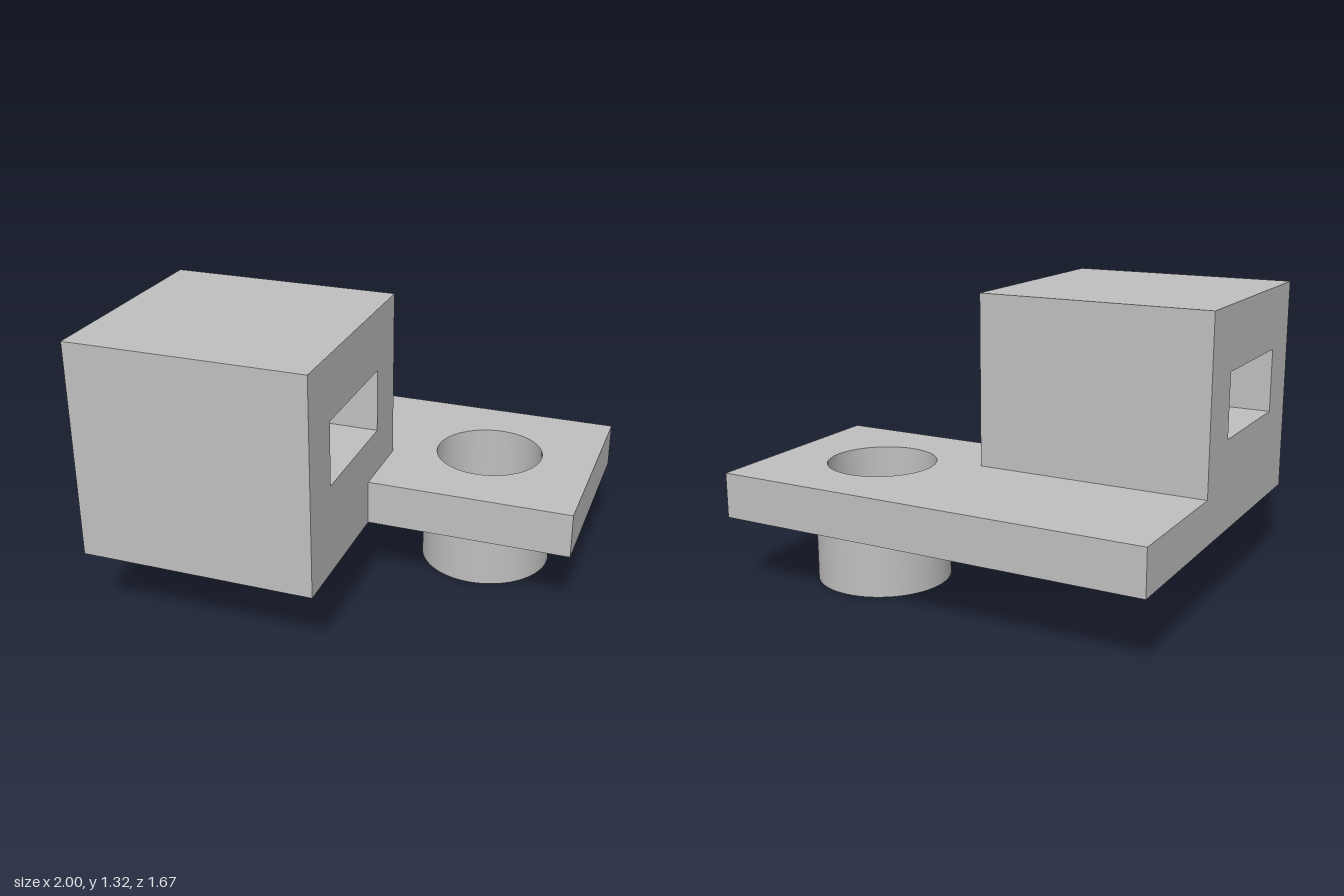
import * as THREE from 'three';
import { toCreasedNormals } from 'three/addons/utils/BufferGeometryUtils.js';

const BASE = 0.335, PLATE_TOP = 0.54, BLOCK_TOP = 1.32;
const HOLE = { x: 0.505, z: -0.342, r: 0.248, outer: 0.307 };

const polygon = (Type, pts) => new Type(pts.map(([a, b]) => new THREE.Vector2(a, b)));

function extrude(shape, depth) {
  const geo = new THREE.ExtrudeGeometry(shape, { depth, bevelEnabled: false, curveSegments: 40 });
  return toCreasedNormals(geo, 0.5);
}

// shape drawn as (x, -z), raised along y
function upright(shape, y0, y1) {
  return extrude(shape, y1 - y0).rotateX(-Math.PI / 2).translate(0, y0, 0);
}

function circle(Type, r) {
  return new Type().absarc(HOLE.x, -HOLE.z, r, 0, Math.PI * 2, false);
}

export function createModel() {
  const group = new THREE.Group();
  const grey = new THREE.MeshStandardMaterial({ color: 0xbfbfbf });
  grey.name = 'grey';
  const add = (name, geo) => {
    const mesh = new THREE.Mesh(geo, grey);
    mesh.name = name;
    group.add(mesh);
  };

  // Block with its rear ledge, drawn as (-z, y), with a rectangular tunnel along x
  const profile = polygon(THREE.Shape, [
    [-0.833, BASE], [0.833, BASE], [0.833, PLATE_TOP],
    [0.197, PLATE_TOP], [0.197, BLOCK_TOP], [-0.833, BLOCK_TOP],
  ]);
  profile.holes.push(polygon(THREE.Path, [
    [-0.61, 0.745], [-0.61, 1.035], [-0.03, 1.035], [-0.03, 0.745],
  ]));
  add('blockAndLedge', extrude(profile, 1.07).rotateY(Math.PI / 2).translate(-1, 0, 0));

  // Side plate with a round hole
  const plate = polygon(THREE.Shape, [[0.07, -0.15], [1, -0.15], [1, 0.833], [0.07, 0.833]]);
  plate.holes.push(circle(THREE.Path, HOLE.r));
  add('sidePlate', upright(plate, BASE, PLATE_TOP));

  // Tube hanging below the hole
  const ring = circle(THREE.Shape, HOLE.outer);
  ring.holes.push(circle(THREE.Path, HOLE.r));
  add('tube', upright(ring, 0, BASE));

  return group;
}
